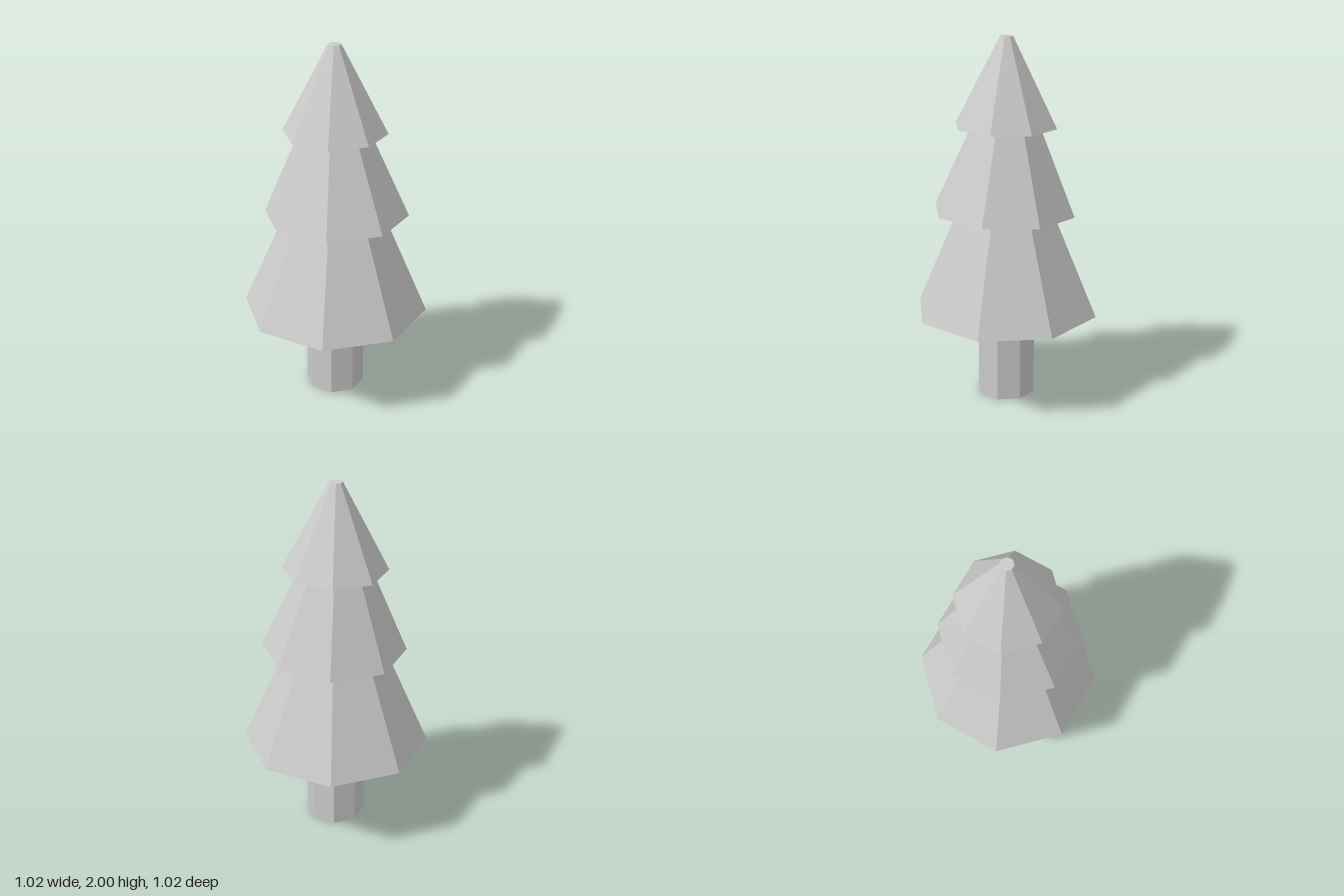
import * as THREE from 'three';

const SIDES = 8;

export function createModel() {
  const tree = new THREE.Group();
  tree.name = 'pineTree';
  const material = new THREE.MeshStandardMaterial({
    color: 0xcccccc, flatShading: true, side: THREE.DoubleSide,
  });

  // Open octagonal trunk, ending inside the lowest hollow tier
  const trunk = new THREE.Mesh(
    new THREE.CylinderGeometry(0.162, 0.162, 0.63, SIDES, 1, true), material);
  trunk.name = 'trunk';
  trunk.position.y = 0.315;
  tree.add(trunk);

  // Hollow skirt of foliage: inner wall, flat rim, outer wall, flat cap
  function addTier(name, { x, y, bottom, top, height, rim, tilt }) {
    const slope = (bottom - top) / height;
    const innerTop = Math.max(top - rim, 0);
    const innerHeight = (bottom - rim - innerTop) / slope;
    const profile = [
      [0, innerHeight], [innerTop, innerHeight], [bottom - rim, 0],
      [bottom, 0], [top, height], [0, height],
    ].map(([r, h]) => new THREE.Vector2(r, h));
    if (innerTop === 0) profile.shift();
    const tier = new THREE.Mesh(new THREE.LatheGeometry(profile, SIDES), material);
    tier.name = name;
    tier.position.set(x, y, 0);
    tier.rotation.z = tilt;
    tree.add(tier);
  }

  addTier('lowerBranches', { x: 0, y: 0.49, bottom: 0.51, top: 0.2, height: 0.72, rim: 0.053, tilt: 0 });
  addTier('middleBranches', { x: 0.012, y: 1.058, bottom: 0.393, top: 0.13, height: 0.6, rim: 0.042, tilt: 0.032 });
  addTier('topBranches', { x: 0.001, y: 1.524, bottom: 0.281, top: 0.035, height: 0.476, rim: 0.034, tilt: 0.01 });

  return tree;
}
